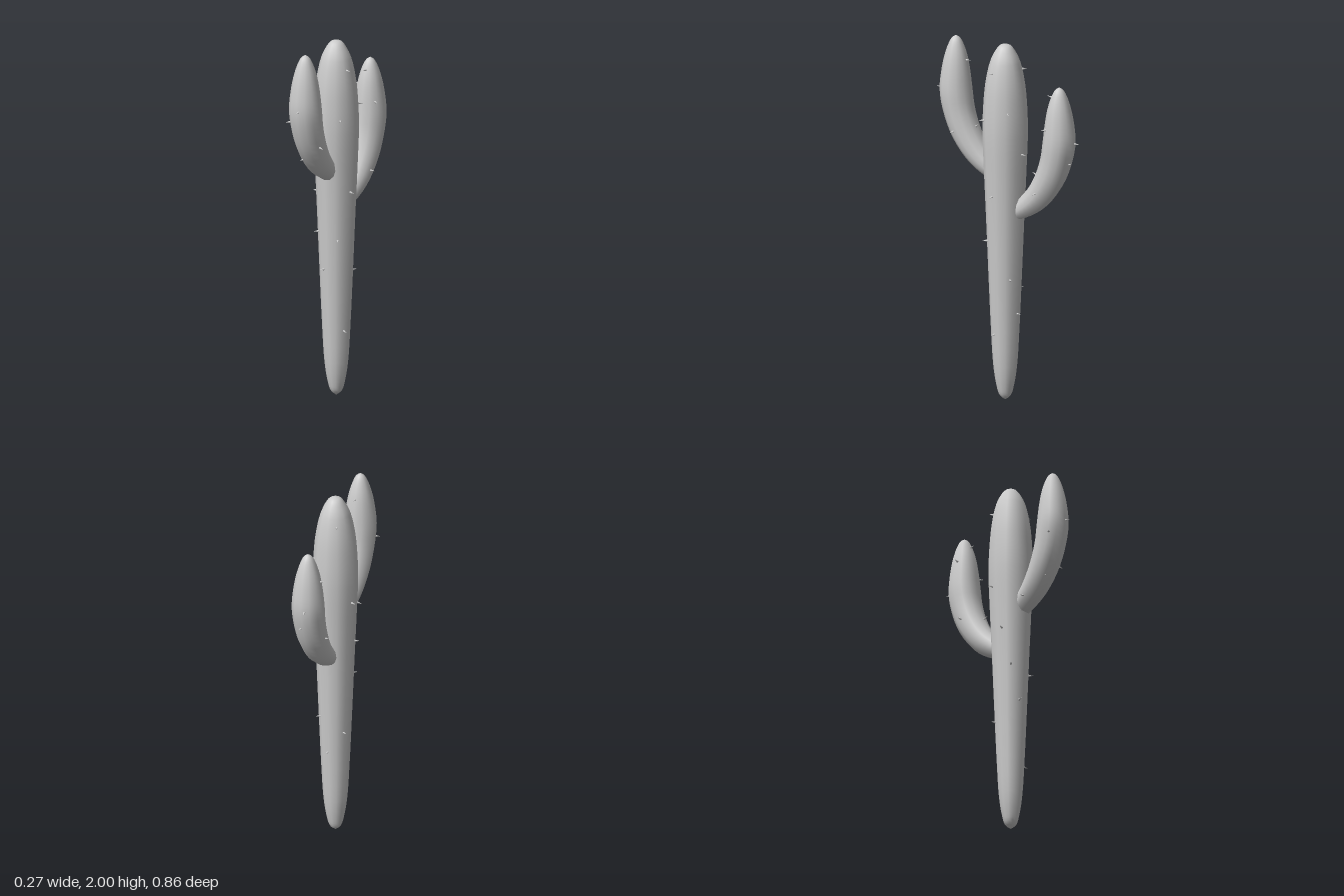
import * as THREE from 'three';

const SIDES = 12;
const material = new THREE.MeshStandardMaterial({ color: 0xcccccc });

// A stem is a curve in the plane x = 0; each point is [radius, y, z]
const stemCurve = (points) =>
  new THREE.CatmullRomCurve3(points.map(([r, y, z]) => new THREE.Vector3(r, y, z)));

const centre = (p) => new THREE.Vector3(0, p.y, p.z);

// Sweeps rings along a stem, closing to a point at both ends
function stemGeometry(curve, steps) {
  const rings = curve.getPoints(steps);
  const positions = [], index = [];
  const X = new THREE.Vector3(1, 0, 0);
  rings.forEach((p, i) => {
    const before = centre(rings[Math.max(i - 1, 0)]);
    const after = centre(rings[Math.min(i + 1, steps)]);
    const N = after.sub(before).normalize().cross(X);
    const r = i === 0 || i === steps ? 0 : Math.max(p.x, 0);
    for (let j = 0; j < SIDES; j++) {
      const a = (j / SIDES) * Math.PI * 2;
      const v = centre(p).addScaledVector(X, r * Math.cos(a)).addScaledVector(N, r * Math.sin(a));
      positions.push(v.x, v.y, v.z);
      if (i === steps) continue;
      const k = (j + 1) % SIDES, b = i * SIDES, t = b + SIDES;
      index.push(b + j, b + k, t + j, b + k, t + k, t + j);
    }
  });
  const g = new THREE.BufferGeometry();
  g.setAttribute('position', new THREE.Float32BufferAttribute(positions, 3));
  g.setIndex(index);
  g.computeVertexNormals();
  return g;
}

// Short cone standing on the stem surface, pointing out through the target
function spine(curve, target) {
  const t = new THREE.Vector3(...target);
  let best = null, bestGap = Infinity;
  for (const p of curve.getPoints(120)) {
    const gap = Math.abs(centre(p).distanceTo(t) - p.x) + centre(p).distanceTo(t);
    if (gap < bestGap) { bestGap = gap; best = p; }
  }
  const dir = t.sub(centre(best)).normalize();
  const mesh = new THREE.Mesh(new THREE.ConeGeometry(0.008, 0.034, 6), material);
  mesh.position.copy(centre(best)).addScaledVector(dir, best.x + 0.008);
  mesh.quaternion.setFromUnitVectors(new THREE.Vector3(0, 1, 0), dir);
  mesh.name = 'spine';
  return mesh;
}

function stem(name, points, steps, spines) {
  const group = new THREE.Group();
  group.name = name;
  const curve = stemCurve(points);
  const body = new THREE.Mesh(stemGeometry(curve, steps), material);
  body.name = name + 'Body';
  group.add(body);
  for (const s of spines) group.add(spine(curve, s));
  return group;
}

export function createModel() {
  const model = new THREE.Group();
  model.name = 'cactus';

  // Trunk: tall, widest near the top, rounded at both ends
  const trunk = [
    [0, 0.005], [0.03, 0.03], [0.048, 0.09], [0.064, 0.2], [0.076, 0.4], [0.09, 0.72],
    [0.102, 1.02], [0.114, 1.3], [0.121, 1.5], [0.118, 1.64], [0.106, 1.78],
    [0.081, 1.9], [0.054, 1.96], [0.03, 1.99], [0, 2],
  ].map(([r, y]) => [r, y, 0.015]);
  model.add(stem('trunk', trunk, 56, [
    [0.1, 1.85, 0.05], [0.09, 1.58, 0.11], [0.1, 1.64, -0.06], [0.02, 1.4, -0.11],
    [0.125, 1.165, 0.04], [0.065, 0.9, 0.1], [-0.03, 0.73, 0.115], [0.06, 0.7, -0.05],
    [0.01, 0.5, -0.08], [0.08, 0.38, 0.05], [-0.05, 1.86, -0.07], [-0.13, 1.4, -0.02],
    [-0.12, 1.145, 0.05], [-0.07, 0.62, -0.03], [-0.08, 0.93, 0.09],
  ]));

  // Arms: the same curved branch, mirrored and lower at the back
  const arm = (side, drop) => [
    [0, 1.235, 0], [0.035, 1.245, 0.025], [0.055, 1.29, 0.1], [0.07, 1.365, 0.185],
    [0.08, 1.47, 0.255], [0.085, 1.58, 0.297], [0.088, 1.69, 0.317], [0.079, 1.79, 0.319],
    [0.063, 1.88, 0.318], [0.041, 1.95, 0.318], [0.022, 1.985, 0.318], [0, 2, 0.318],
  ].map(([r, y, z]) => [r, y - drop, z * side]);
  model.add(stem('frontArm', arm(1, 0), 36, [
    [0, 1.87, 0.24], [0.01, 1.7, 0.41], [0.1, 1.48, 0.3], [0.01, 1.51, 0.19],
    [-0.07, 1.31, 0.16], [-0.03, 1.4, 0.29], [-0.08, 1.62, 0.36],
  ]));
  model.add(stem('backArm', arm(-1, 0.19), 36, [
    [0, 1.75, -0.26], [0.07, 1.58, -0.265], [-0.02, 1.5, -0.41], [0.01, 1.39, -0.375],
    [0.08, 1.215, -0.21], [0, 1.3, -0.17], [-0.1, 1.655, -0.3], [-0.08, 1.3, -0.27],
  ]));
  return model;
}
